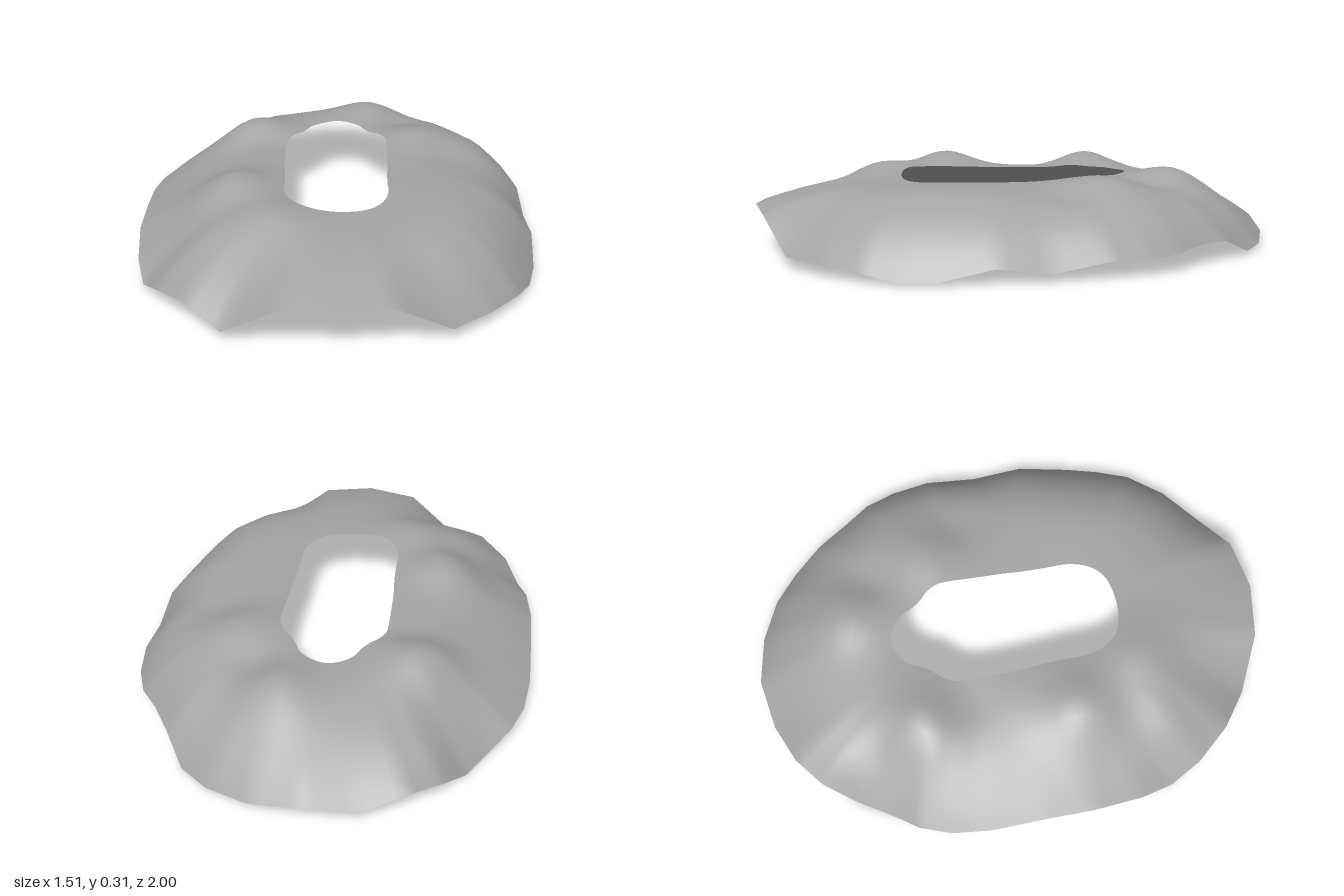
import * as THREE from 'three';

// Half outline from back to front: outer x, outer z, inner x, inner z, hem height on +x, hem height on -x
const SPOKES = [
  [0, -1, 0, -0.455, 0.065, 0.065],
  [0.19, -0.97, 0.05, -0.44, 0.035, 0.04],
  [0.35, -0.9, 0.1, -0.4, 0.02, 0.08],
  [0.46, -0.81, 0.122, -0.355, 0.015, 0.06],
  [0.54, -0.69, 0.145, -0.32, 0.075, 0],
  [0.615, -0.57, 0.178, -0.285, 0.08, 0.01],
  [0.69, -0.47, 0.2, -0.24, 0.07, 0.04],
  [0.735, -0.35, 0.205, -0.19, 0.06, 0.045],
  [0.755, -0.2, 0.205, -0.1, 0.065, 0.06],
  [0.755, 0, 0.203, 0.02, 0.03, 0.08],
  [0.755, 0.2, 0.197, 0.11, 0.055, 0.08],
  [0.735, 0.4, 0.195, 0.2, 0.012, 0.05],
  [0.7, 0.53, 0.195, 0.27, 0.01, 0.015],
  [0.64, 0.65, 0.18, 0.34, 0.035, 0.065],
  [0.53, 0.78, 0.15, 0.39, 0.045, 0.09],
  [0.39, 0.89, 0.11, 0.42, 0.045, 0.035],
  [0.2, 0.97, 0.06, 0.435, 0.165, 0.16],
  [0, 1, 0, 0.44, 0.175, 0.175],
];

// Soft swellings and hollows: x, z, height, radius
const BUMPS = [
  [-0.41, 0.22, 0.075, 0.15],
  [-0.36, -0.4, 0.07, 0.15],
  [-0.47, -0.74, 0.03, 0.12],
  [0.14, -0.62, 0.045, 0.14],
  [0.33, -0.27, 0.035, 0.15],
  [-0.24, 0.49, 0.04, 0.15],
  [-0.48, 0.56, 0.03, 0.14],
  [0.4, 0.33, 0.015, 0.2],
  [0.46, -0.13, -0.025, 0.12],
  [-0.29, -0.22, -0.015, 0.1],
  [0.27, -0.48, -0.02, 0.1],
];

const TOP = 0.26, RINGS = 14, STEPS = 4;

function bumpHeight(x, z) {
  return BUMPS.reduce((h, [bx, bz, a, r]) =>
    h + a * Math.exp(-((x - bx) ** 2 + (z - bz) ** 2) / (r * r)), 0);
}

// Ring-shaped sheet swept from the hole out to the ragged hem
function ringSheet() {
  const right = SPOKES.map(([x, z, ix, iz, h]) => ({ outer: [x, h, z], inner: [ix, TOP, iz] }));
  const left = SPOKES.slice(1, -1).reverse()
    .map(([x, z, ix, iz, , h]) => ({ outer: [-x, h, z], inner: [-ix, TOP, iz] }));
  const loop = [...right, ...left];
  const n = loop.length;
  const hole = new THREE.CatmullRomCurve3(loop.map((s) => new THREE.Vector3(...s.inner)), true);

  const around = n * STEPS;
  const pos = [], index = [];
  for (let j = 0; j < around; j++) {
    const k = Math.floor(j / STEPS);
    const hem = new THREE.Vector3(...loop[k].outer)
      .lerp(new THREE.Vector3(...loop[(k + 1) % n].outer), (j % STEPS) / STEPS);
    const rim = hole.getPoint(j / around);
    // Fuller shoulder on the +x side, and an even base line that lifts at the front
    const power = 2.15 + 2.5 * Math.max(0, hem.x);
    const base = 0.05 + 0.1 * Math.max(0, hem.z) ** 4;
    for (let i = 0; i <= RINGS; i++) {
      const s = i / RINGS;
      const x = rim.x + (hem.x - rim.x) * s;
      const z = rim.z + (hem.z - rim.z) * s;
      const dome = base + (TOP - base) * (1 - s ** power);
      // The ragged hem only shows towards the edge
      const y = dome + (hem.y - base) * s ** 3 + bumpHeight(x, z) * (1 - s ** 4);
      pos.push(x, y, z);
      if (i < RINGS) {
        const a = j * (RINGS + 1) + i;
        const b = ((j + 1) % around) * (RINGS + 1) + i;
        index.push(a, b, a + 1, b, b + 1, a + 1);
      }
    }
  }
  const geo = new THREE.BufferGeometry();
  geo.setAttribute('position', new THREE.Float32BufferAttribute(pos, 3));
  geo.setIndex(index);
  geo.computeVertexNormals();
  return geo;
}

export function createModel() {
  const group = new THREE.Group();
  const sheet = new THREE.Mesh(ringSheet(),
    new THREE.MeshStandardMaterial({ color: 0xa4a4a4, side: THREE.DoubleSide }));
  sheet.name = 'drapedRingSheet';
  group.add(sheet);
  return group;
}
